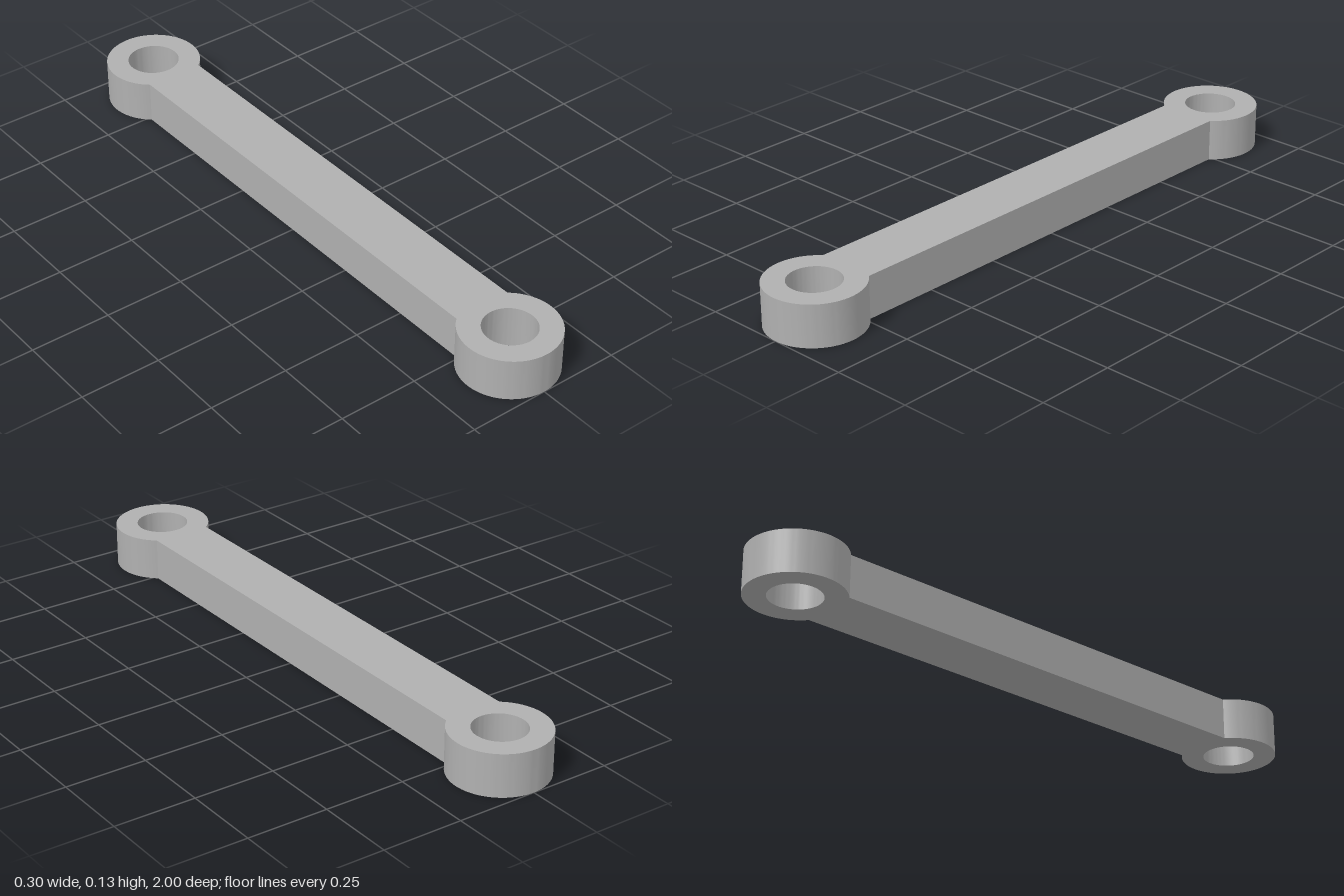
import * as THREE from 'three';
import { toCreasedNormals } from 'three/addons/utils/BufferGeometryUtils.js';

const EYE_Z = 0.852;      // distance of each eye from the centre
const EYE_RADIUS = 0.148;
const HOLE_RADIUS = 0.08;
const HALF_WIDTH = 0.093; // half the width of the bar
const HEIGHT = 0.132;

export function createModel() {
  const model = new THREE.Group();
  model.name = 'linkRod';

  const steel = new THREE.MeshStandardMaterial({ color: 0xb0b0b0 });
  steel.name = 'steelGrey';

  // Outline: two round eyes joined by the straight sides of the bar
  const a = Math.acos(HALF_WIDTH / EYE_RADIUS);
  const outline = new THREE.Shape();
  outline.absarc(0, EYE_Z, EYE_RADIUS, -a, Math.PI + a, false);
  outline.absarc(0, -EYE_Z, EYE_RADIUS, Math.PI - a, 2 * Math.PI + a, false);

  // Through hole in each eye
  for (const side of [1, -1]) {
    const hole = new THREE.Path();
    hole.absarc(0, side * EYE_Z, HOLE_RADIUS, 0, Math.PI * 2, true);
    outline.holes.push(hole);
  }

  // Extruded upwards, with smooth round walls and sharp edges
  const extruded = new THREE.ExtrudeGeometry(outline, {
    depth: HEIGHT, bevelEnabled: false, curveSegments: 40,
  });
  extruded.rotateX(-Math.PI / 2);
  const link = new THREE.Mesh(toCreasedNormals(extruded, 0.5), steel);
  link.name = 'barWithEyes';
  model.add(link);

  return model;
}
